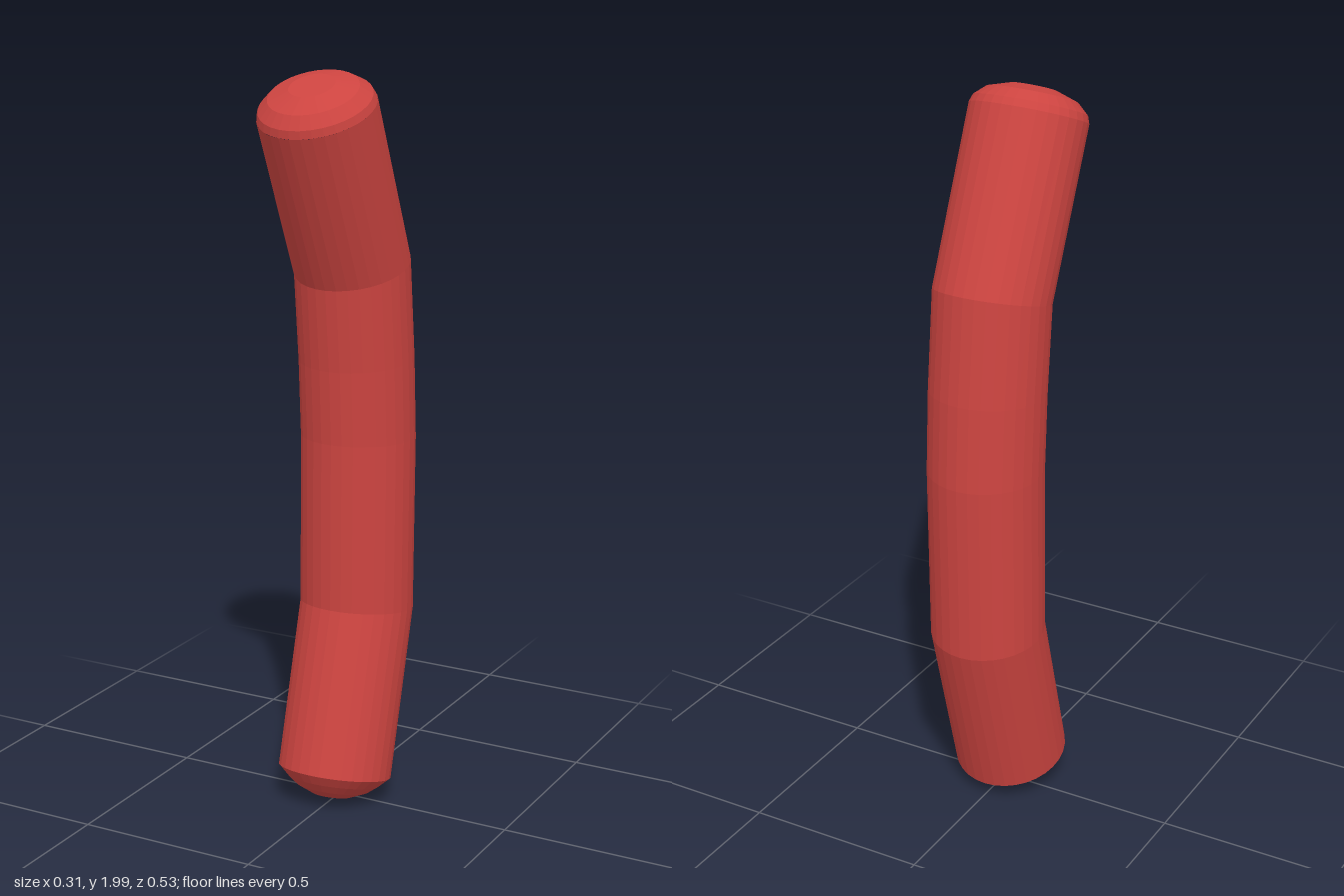
import * as THREE from 'three';

const SIDES = 32;
const RADIUS = 0.155;

// Ring given by its front and back points [z, y] in the side plane
const ring = (front, back) => ({
  z: (front[0] + back[0]) / 2, y: (front[1] + back[1]) / 2,
  hz: (front[0] - back[0]) / 2, hy: (front[1] - back[1]) / 2, rx: RADIUS,
});

// Skin over rings listed from bottom to top; ends may be closed with a flat disc
function loft(rings, closeBottom, closeTop) {
  const pos = [], index = [];
  for (const r of rings) {
    for (let j = 0; j < SIDES; j++) {
      const t = (j / SIDES) * Math.PI * 2, c = Math.cos(t);
      pos.push(r.rx * Math.sin(t), r.y + r.hy * c, r.z + r.hz * c);
    }
  }
  for (let i = 0; i < rings.length - 1; i++) {
    for (let j = 0; j < SIDES; j++) {
      const k = (j + 1) % SIDES;
      const a = i * SIDES + j, b = i * SIDES + k;
      index.push(a, b, b + SIDES, a, b + SIDES, a + SIDES);
    }
  }
  const last = (rings.length - 1) * SIDES;
  for (let j = 1; j < SIDES - 1; j++) {
    if (closeBottom) index.push(0, j + 1, j);
    if (closeTop) index.push(last, last + j, last + j + 1);
  }
  const geo = new THREE.BufferGeometry();
  geo.setAttribute('position', new THREE.Float32BufferAttribute(pos, 3));
  geo.setIndex(index);
  geo.computeVertexNormals();
  return geo;
}

// Shrinking rings that round off an end; profile holds [radius, height]
function capRings(base, profile, sign) {
  const len = Math.hypot(base.hz, base.hy);
  const az = -base.hy / len * sign, ay = base.hz / len * sign;
  return profile.map(([r, h]) => ({
    z: base.z + az * h, y: base.y + ay * h,
    hz: base.hz * r / len, hy: base.hy * r / len, rx: r,
  }));
}

export function createModel() {
  const group = new THREE.Group();
  const material = new THREE.MeshStandardMaterial({ color: 0xcc4440, flatShading: true });
  const add = (name, geo) => {
    const mesh = new THREE.Mesh(geo, material);
    mesh.name = name;
    group.add(mesh);
  };

  // Bent tube with mitred joints
  const rings = [
    ring([0.18, 0.13], [-0.12, 0.045]),
    ring([0.055, 0.56], [-0.25, 0.515]),
    ring([0.05, 1.02], [-0.26, 1.01]),
    ring([0.06, 1.22], [-0.247, 1.24]),
    ring([0.08, 1.44], [-0.217, 1.525]),
    ring([0.265, 1.85], [-0.022, 1.97]),
  ];
  add('bentTube', loft(rings, false, false));

  // Rounded ends with a small flat tip
  const top = rings[rings.length - 1], bottom = rings[0];
  add('topCap', loft(
    capRings(top, [[RADIUS, 0], [0.148, 0.02], [0.118, 0.047], [0.06, 0.066]], 1), false, true));
  add('bottomCap', loft(
    capRings(bottom, [[RADIUS, 0], [0.128, 0.026], [0.1, 0.048], [0.055, 0.068]], -1).reverse(), true, false));
  return group;
}
